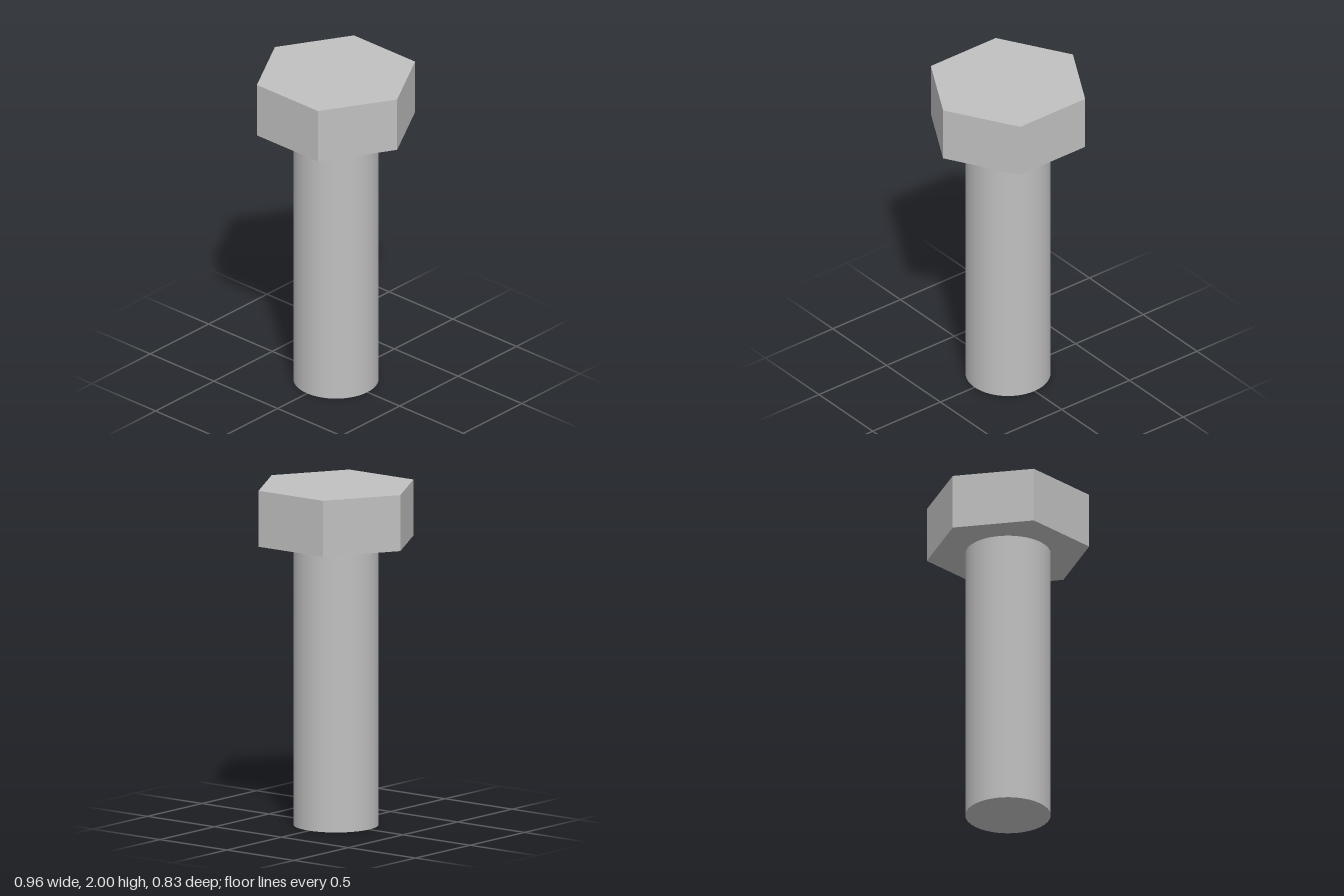
import * as THREE from 'three';

const HEAD_BASE = 1.67, HEIGHT = 2;
const HEAD_RADIUS = 0.48, SHANK_RADIUS = 0.247;

export function createModel() {
  const group = new THREE.Group();
  group.name = 'hexBolt';

  const steel = new THREE.MeshStandardMaterial({ color: 0xc0c0c0 });
  steel.name = 'steel';

  // Adds an upright prism or cylinder between two heights
  const addColumn = (name, radius, bottom, top, sides) => {
    const geometry = new THREE.CylinderGeometry(radius, radius, top - bottom, sides, 1, false, Math.PI / 2);
    const faceted = sides === 6;
    const shape = faceted ? geometry.toNonIndexed() : geometry;
    if (faceted) shape.computeVertexNormals(); // crisp flats
    const mesh = new THREE.Mesh(shape, steel);
    mesh.name = name;
    mesh.position.y = (bottom + top) / 2;
    group.add(mesh);
  };

  // Smooth round shank
  addColumn('shank', SHANK_RADIUS, 0, HEAD_BASE, 64);
  // Hexagonal head with corners on the x axis
  addColumn('head', HEAD_RADIUS, HEAD_BASE, HEIGHT, 6);

  return group;
}
